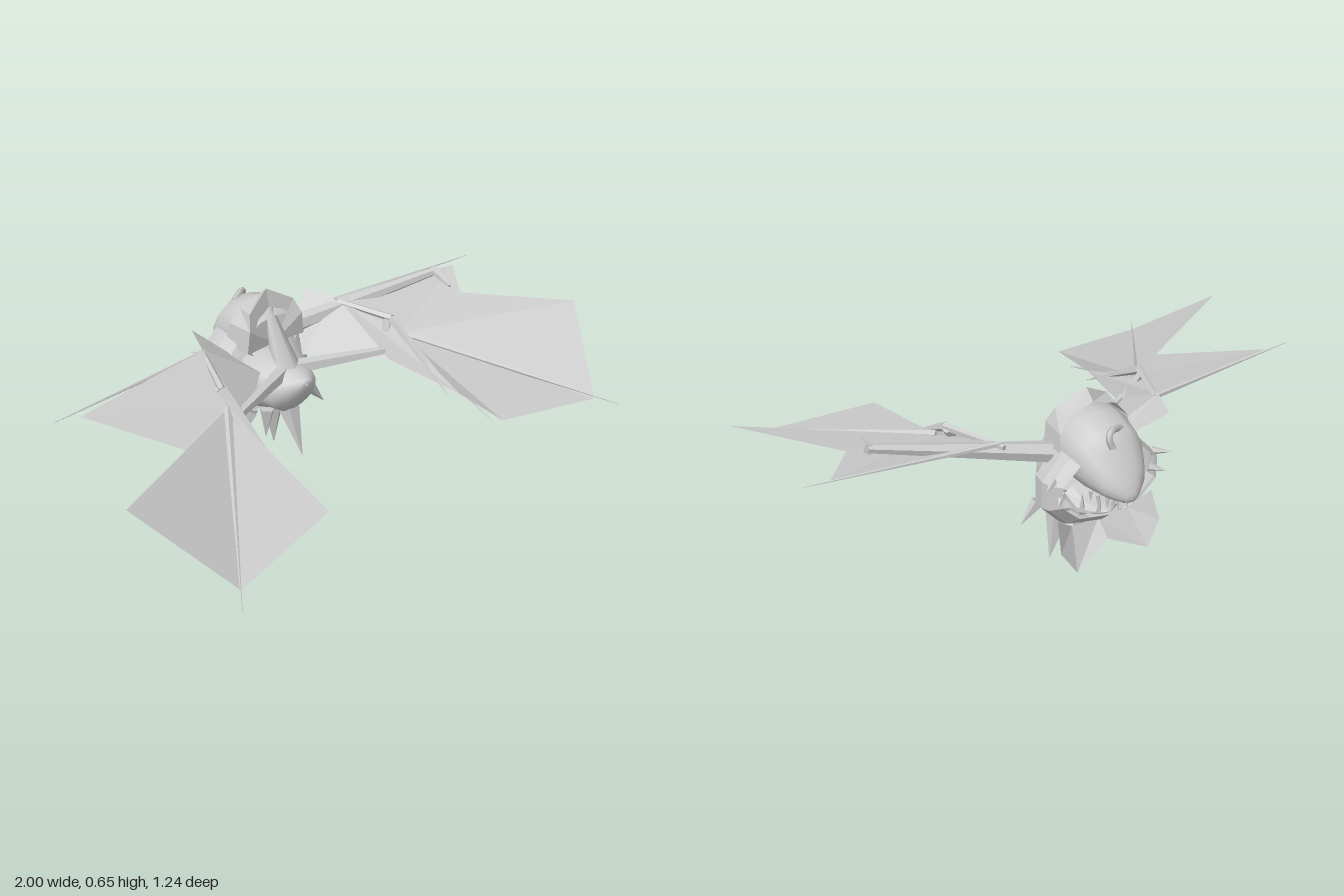
import * as THREE from 'three';

const V = (p) => new THREE.Vector3(...p);
const smooth = new THREE.MeshStandardMaterial({ color: 0xcccccc, side: THREE.DoubleSide });
const flat = new THREE.MeshStandardMaterial({ color: 0xcccccc, side: THREE.DoubleSide, flatShading: true });

function add(parent, name, geometry, material = flat) {
  const mesh = new THREE.Mesh(geometry, material);
  mesh.name = name;
  parent.add(mesh);
}

function build(pos, index) {
  const g = new THREE.BufferGeometry();
  g.setAttribute('position', new THREE.Float32BufferAttribute(pos, 3));
  g.setIndex(index);
  g.computeVertexNormals();
  return g;
}

// Skin over rings along z: [z, top, bottom, halfWidth]
function loft(rings, n, power = 1) {
  const pos = [], index = [];
  rings.forEach(([z, top, bottom, w], r) => {
    for (let i = 0; i < n; i++) {
      const a = (i / n) * Math.PI * 2, s = Math.sin(a), c = Math.cos(a);
      pos.push(Math.sign(s) * Math.abs(s) ** power * w,
        (top + bottom) / 2 + c * (top - bottom) / 2, z);
      if (r) {
        const j = (i + 1) % n, p = (r - 1) * n, q = r * n;
        index.push(p + i, q + i, p + j, p + j, q + i, q + j);
      }
    }
  });
  return build(pos, index);
}

// Thin sheet fanned from its first point
function sheet(points) {
  const index = [];
  for (let i = 1; i < points.length - 1; i++) index.push(0, i, i + 1);
  return build(points.flat(), index);
}

// Tapered bone, claw or tooth between two points
function taper(a, b, r0, r1 = 0.001, sides = 5) {
  const from = V(a), dir = V(b).sub(from), len = dir.length();
  const g = new THREE.CylinderGeometry(r1, r0, len, sides);
  g.translate(0, len / 2, 0);
  g.applyQuaternion(new THREE.Quaternion().setFromUnitVectors(new THREE.Vector3(0, 1, 0), dir.normalize()));
  return g.translate(from.x, from.y, from.z);
}

function makeWing(side) {
  const wing = new THREE.Group();
  wing.name = side > 0 ? 'leftWing' : 'rightWing';
  const m = (p) => [p[0] * side, p[1], p[2]];
  const wrist = [0.4, 0.45, -0.06], lead = [0.85, 0.52, -0.24];
  const outer = [1, 0.505, 0.255], tip = [0.81, 0.28, 0.54];
  const rear = [0.4, 0.32, 0.46], inner = [0.4, 0.33, 0.25];
  const root = [0.31, 0.53, -0.32];

  // Membranes
  add(wing, 'innerMembrane', sheet([root, [0.26, 0.535, -0.455],
    [0.12, 0.4, -0.34], [0.1, 0.38, -0.27], [0.33, 0.37, -0.05], inner, wrist].map(m)));
  add(wing, 'outerMembrane', sheet([wrist, outer, tip].map(m)));
  add(wing, 'rearMembrane', sheet([wrist, tip, rear, inner].map(m)));
  const front = side > 0
    ? [wrist, root, lead, [0.73, 0.5, -0.08], outer]
    : [wrist, root, lead, [0.57, 0.41, 0.12]];
  add(wing, 'frontMembrane', sheet(front.map(m)));

  // Arm and finger bones
  const bones = [
    [[0.03, 0.37, -0.23], [0.34, 0.39, -0.08], 0.03, 0.016],
    [[0.33, 0.39, -0.09], [0.39, 0.5, -0.12], 0.014, 0.016],
    [[0.3, 0.515, -0.34], [0.39, 0.5, -0.1], 0.01, 0.014],
    [wrist, [0.86, 0.27, 0.61], 0.016],
    [wrist, [0.42, 0.275, 0.4], 0.016],
    [[0.39, 0.5, -0.1], [0.38, 0.31, 0.22], 0.018],
    [[0.3, 0.52, -0.32], [0.94, 0.53, -0.25], 0.01],
  ];
  for (const [a, b, r0, r1] of bones) add(wing, 'wingBone', taper(m(a), m(b), r0, r1));
  if (side > 0) {
    add(wing, 'foreArm', taper([0.14, 0.46, -0.36], [0.7, 0.56, -0.19], 0.036, 0.016, 6));
    add(wing, 'armHook', taper([0.7, 0.56, -0.2], [0.68, 0.54, -0.09], 0.02, 0.006));
  }
  return wing;
}

export function createModel() {
  const model = new THREE.Group();

  // Narrow rounded body opening forward into a wide cheek ruff
  add(model, 'body', loft([
    [-0.125, 0.36, 0.35, 0.005], [-0.128, 0.375, 0.32, 0.03], [-0.165, 0.385, 0.26, 0.075],
    [-0.21, 0.395, 0.21, 0.105], [-0.27, 0.42, 0.2, 0.125], [-0.33, 0.48, 0.18, 0.165],
  ], 14), smooth);
  add(model, 'cheekRuff', loft([
    [-0.33, 0.48, 0.165, 0.165], [-0.36, 0.51, 0.165, 0.205], [-0.42, 0.515, 0.185, 0.22],
    [-0.46, 0.51, 0.205, 0.215], [-0.505, 0.5, 0.25, 0.19],
  ], 10, 0.9));

  // Head with a blunt snout
  add(model, 'head', loft([
    [-0.31, 0.56, 0.4, 0.12], [-0.35, 0.6, 0.37, 0.13], [-0.42, 0.6, 0.35, 0.13],
    [-0.5, 0.575, 0.35, 0.12], [-0.545, 0.52, 0.358, 0.1], [-0.58, 0.475, 0.36, 0.08],
    [-0.61, 0.435, 0.362, 0.045], [-0.625, 0.4, 0.37, 0.02], [-0.626, 0.385, 0.38, 0.002],
  ], 14, 0.85), smooth);

  // Pointed hood at the back of the head
  const hood = [[-0.13, 0.45, -0.3], [-0.12, 0.54, -0.295], [-0.1, 0.595, -0.32],
    [0, 0.655, -0.35], [0.1, 0.595, -0.32], [0.12, 0.54, -0.295], [0.13, 0.45, -0.3]];
  const rim = [[-0.14, 0.45, -0.42], [-0.13, 0.54, -0.4], [-0.09, 0.59, -0.39],
    [0, 0.62, -0.39], [0.09, 0.59, -0.39], [0.13, 0.54, -0.4], [0.14, 0.45, -0.42]];
  for (let i = 0; i < 6; i++) add(model, 'hood', sheet([hood[i], hood[i + 1], rim[i + 1], rim[i]]));
  add(model, 'hoodBack', sheet([[0, 0.45, -0.31], ...hood]));
  add(model, 'neckRidge', taper([0, 0.34, -0.23], [0, 0.58, -0.34], 0.06, 0.015, 6), smooth);

  // Lower jaw
  add(model, 'lowerJaw', loft([
    [-0.35, 0.3, 0.22, 0.08], [-0.42, 0.275, 0.22, 0.08], [-0.47, 0.27, 0.24, 0.055], [-0.5, 0.265, 0.255, 0.01],
  ], 10));

  // Teeth along both jaws
  for (let i = 0; i < 9; i++) {
    const a = (i / 8 - 0.5) * Math.PI, x = Math.sin(a), z = Math.cos(a);
    add(model, 'upperTooth', taper([x * 0.08, 0.375, -0.51 - z * 0.085],
      [x * 0.08, 0.335, -0.51 - z * 0.09], 0.01, 0.001, 4));
    if (i % 2) add(model, 'lowerTooth', taper([x * 0.07, 0.26, -0.41 - z * 0.075],
      [x * 0.075, 0.32, -0.41 - z * 0.09], 0.01, 0.001, 4));
  }

  // Curled brow crest
  const curl = new THREE.CatmullRomCurve3([[-0.04, 0.565, -0.49], [0.01, 0.58, -0.515],
    [0.03, 0.565, -0.53], [0.02, 0.53, -0.54]].map(V));
  add(model, 'browCrest', new THREE.TubeGeometry(curl, 8, 0.012, 5), smooth);

  // Paired features
  for (const s of [-1, 1]) {
    const m = (p) => [p[0] * s, p[1], p[2]];
    model.add(makeWing(s));
    add(model, 'cheekSpike', taper(m([0.19, 0.415, -0.46]), m([0.24, 0.415, -0.5]), 0.016));
    add(model, 'cheekSpike', taper(m([0.17, 0.37, -0.48]), m([0.21, 0.36, -0.52]), 0.016));
    // Pointed apron below the ruff
    const top = [[0, 0.2, -0.44], [0.11, 0.21, -0.45], [0.185, 0.27, -0.48]].map(m);
    const hem = [[0, 0.15, -0.5], [0.14, 0.085, -0.535], [0.195, 0.17, -0.52]].map(m);
    for (let i = 0; i < 2; i++) add(model, 'chinApron', sheet([top[i], top[i + 1], hem[i + 1], hem[i]]));
    add(model, 'sideSpike', taper(m([0.14, 0.22, -0.28]), m([0.2, 0.14, -0.27]), 0.025));
    add(model, 'bellyClaw', taper(m([0.1, 0.2, -0.35]), m([0.15, 0.05, -0.375]), 0.045));
    add(model, 'bellyClaw', taper(m([0.05, 0.19, -0.3]), m([0.06, 0.07, -0.3]), 0.03));
  }

  // Central spikes below the body
  add(model, 'tailSpike', taper([0, 0.23, -0.24], [0, 0.03, -0.157], 0.045));
  add(model, 'bellySpike', taper([0, 0.19, -0.33], [0, 0.005, -0.33], 0.045));
  return model;
}
